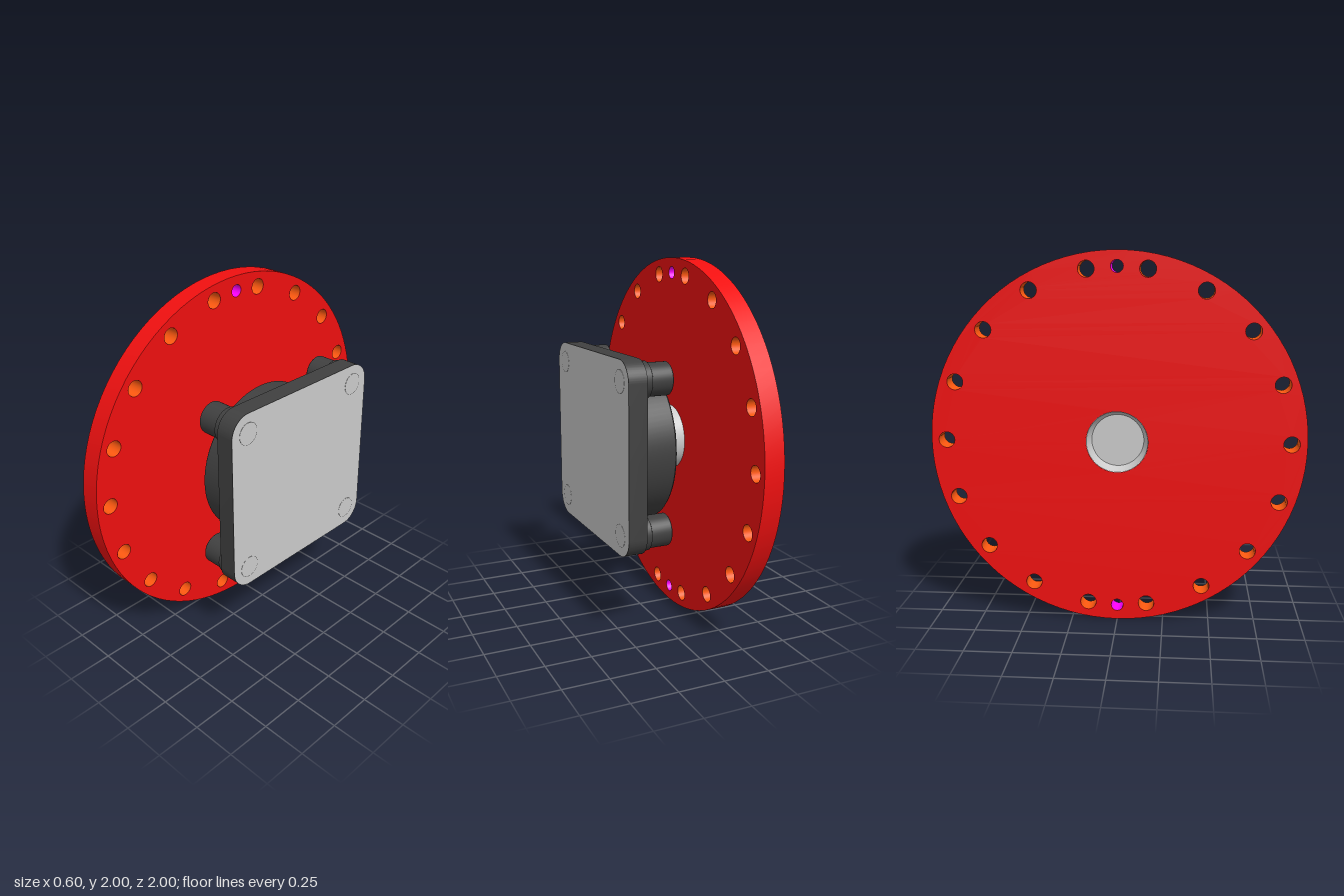
import * as THREE from 'three';
import { toCreasedNormals } from 'three/addons/utils/BufferGeometryUtils.js';

const material = (color, side = THREE.FrontSide) => new THREE.MeshStandardMaterial({ color, side });
const RED = material(0xf01010), DARK = material(0x404040), GREY = material(0xcccccc);
const ORANGE = material(0xff5a10, THREE.DoubleSide), MAGENTA = material(0xff00ff, THREE.DoubleSide);

export function createModel() {
  const model = new THREE.Group();
  const axis = new THREE.Group(); // everything is turned about the x axis at y = 1
  axis.name = 'flangeAssembly';
  axis.position.y = 1;
  model.add(axis);

  const add = (name, geometry, mat, y = 0, z = 0) => {
    const mesh = new THREE.Mesh(geometry, mat);
    mesh.name = name;
    mesh.position.set(0, y, z);
    axis.add(mesh);
  };
  // Profile of [radius, x] pairs, in order of growing x, spun about the x axis
  const turned = (profile, segments = 64) => {
    const pts = profile.map(([r, x]) => new THREE.Vector2(r, x));
    return toCreasedNormals(new THREE.LatheGeometry(pts, segments).rotateZ(-Math.PI / 2), 0.5);
  };
  // Shape in the z-y plane, extruded from x0 to x1
  const slab = (shape, x0, x1, curveSegments) => {
    const g = new THREE.ExtrudeGeometry(shape, { depth: x1 - x0, bevelEnabled: false, curveSegments });
    return toCreasedNormals(g.rotateY(Math.PI / 2).translate(x0, 0, 0), 0.5);
  };
  const hole = (shape, x, y, r) => shape.holes.push(new THREE.Path().absarc(x, y, r, 0, Math.PI * 2, true));

  // Disc with a ring of bolt holes, two small dowel holes and a centre bore
  const X0 = -0.3, X1 = -0.19;
  const disc = new THREE.Shape().absarc(0, 0, 1, 0, Math.PI * 2, false);
  hole(disc, 0, 0, 0.166);
  const drill = (name, degrees, r, mat) => {
    const a = THREE.MathUtils.degToRad(degrees);
    const z = 0.918 * Math.sin(a), y = 0.918 * Math.cos(a);
    hole(disc, -z, y, r);
    const liner = new THREE.CylinderGeometry(r - 0.0005, r - 0.0005, X1 - X0 - 0.001, 32, 1, true);
    add(name, liner.rotateZ(Math.PI / 2).translate((X0 + X1) / 2, 0, 0), mat, y, z);
  };
  for (let i = 0; i < 18; i++) drill('boltHole', 10 + i * 20, 0.043, ORANGE);
  for (const d of [0, 180]) drill('dowelHole', d, 0.033, MAGENTA);
  add('disc', slab(disc, X0, X1, 48), RED);

  // Shaft with a dished end in the bore
  add('shaft', turned([[0, -0.245], [0.14, -0.245], [0.16, -0.285], [0.164, -0.299], [0.1655, -0.299],
    [0.1655, -0.2], [0.18, -0.2], [0.18, -0.1], [0, -0.1]]), GREY);

  // Collar and round housing
  add('collar', turned([[0, -0.12], [0.218, -0.12], [0.224, -0.114], [0.224, 0], [0, 0]]), DARK);
  add('housing', turned([[0, -0.018], [0.425, -0.018], [0.435, -0.008], [0.435, 0.2], [0, 0.2]], 96), DARK);

  // Square mounting plate with rounded corners
  const H = 0.515, R = 0.115, C = H - R, P = 0.404, PIN = 0.062;
  const square = () => {
    const s = new THREE.Shape();
    for (let i = 0; i < 4; i++) {
      const a = i * Math.PI / 2, m = a + Math.PI / 4;
      s.absarc(Math.SQRT2 * C * Math.cos(m), Math.SQRT2 * C * Math.sin(m), R, a, a + Math.PI / 2, false);
    }
    return s;
  };
  add('mountingPlate', slab(square(), 0.19, 0.293, 16), DARK);

  // Light face of the plate, with openings for the flush pins
  const face = square();
  for (const y of [-P, P]) for (const z of [-P, P]) {
    hole(face, z, y, PIN);
    add('post', turned([[0, 0.033], [0.082, 0.033], [0.087, 0.038], [0.087, 0.15],
      [0.096, 0.155], [0.096, 0.195], [0, 0.195]], 40), DARK, y, z);
    add('pin', turned([[0, 0.28], [PIN - 0.002, 0.28], [PIN - 0.002, 0.295], [0, 0.295]], 40), GREY, y, z);
  }
  add('plateFace', new THREE.ShapeGeometry(face, 16).rotateY(Math.PI / 2).translate(0.295, 0, 0), GREY);

  return model;
}
